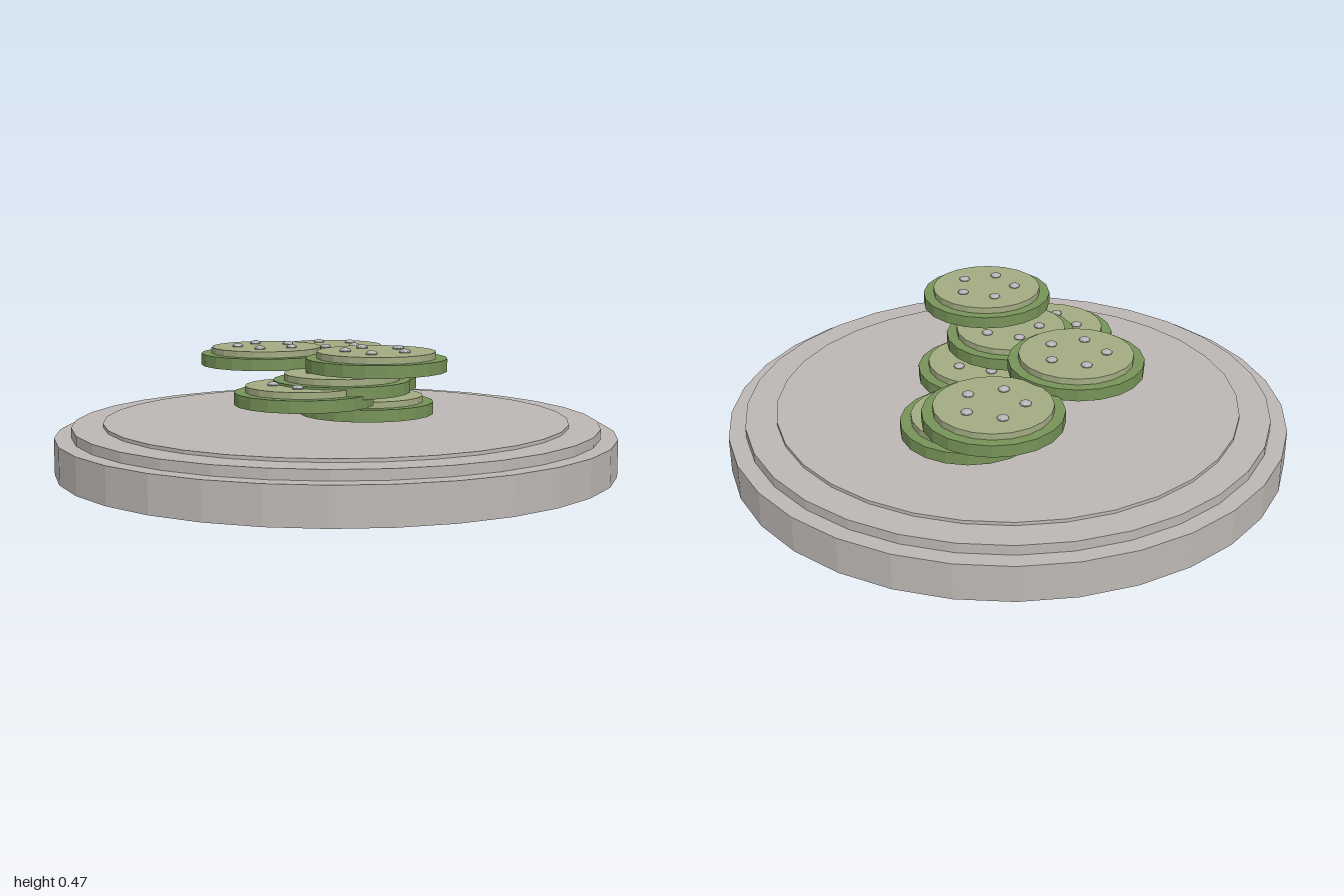
import * as THREE from 'three';

const mat = (name, color) => {
  const m = new THREE.MeshStandardMaterial({ color, flatShading: true });
  m.name = name;
  return m;
};

export function createModel() {
  const stone = mat('plate grey', 0xbdb8b4);
  const skin = mat('skin green', 0x769358);
  const flesh = mat('flesh green', 0xa3ac83);
  const seedGrey = mat('seed grey', 0xb4b1b4);

  // Disc standing on height y
  const disc = (name, radius, y, height, sides, material) => {
    const mesh = new THREE.Mesh(new THREE.CylinderGeometry(radius, radius, height, sides), material);
    mesh.name = name;
    mesh.position.y = y + height / 2;
    return mesh;
  };

  const model = new THREE.Group();
  model.name = 'plateOfSlices';

  // Stepped round plate
  const plate = new THREE.Group();
  plate.name = 'plate';
  plate.add(
    disc('plateBase', 1, 0, 0.13, 32, stone),
    disc('plateStep', 0.94, 0.13, 0.035, 32, stone),
    disc('plateTop', 0.83, 0.165, 0.012, 32, stone)
  );
  model.add(plate);

  // One slice: green skin, paler flesh and a ring of five seeds
  const seedGeometry = new THREE.SphereGeometry(0.02, 10, 8).scale(1, 0.5, 1);
  const makeSlice = (x, y, z) => {
    const slice = new THREE.Group();
    slice.name = 'slice';
    slice.add(disc('skin', 0.237, 0, 0.042, 20, skin), disc('flesh', 0.2, 0.042, 0.022, 20, flesh));
    for (let i = 0; i < 5; i++) {
      const a = (i / 5) * Math.PI * 2;
      const seed = new THREE.Mesh(seedGeometry, seedGrey);
      seed.name = 'seed';
      seed.position.set(0.105 * Math.cos(a), 0.067, 0.105 * Math.sin(a));
      slice.add(seed);
    }
    slice.position.set(x, y, z);
    return slice;
  };

  // Loose pile, each slice a little higher than the last
  [
    [0.008, 0.145], [0.307, -0.215], [-0.287, 0.143], [-0.128, 0.162],
    [0.303, -0.347], [-0.112, -0.25], [-0.148, 0.348],
  ].forEach(([x, z], i) => model.add(makeSlice(x, 0.21 + i * 0.03, z)));

  return model;
}
